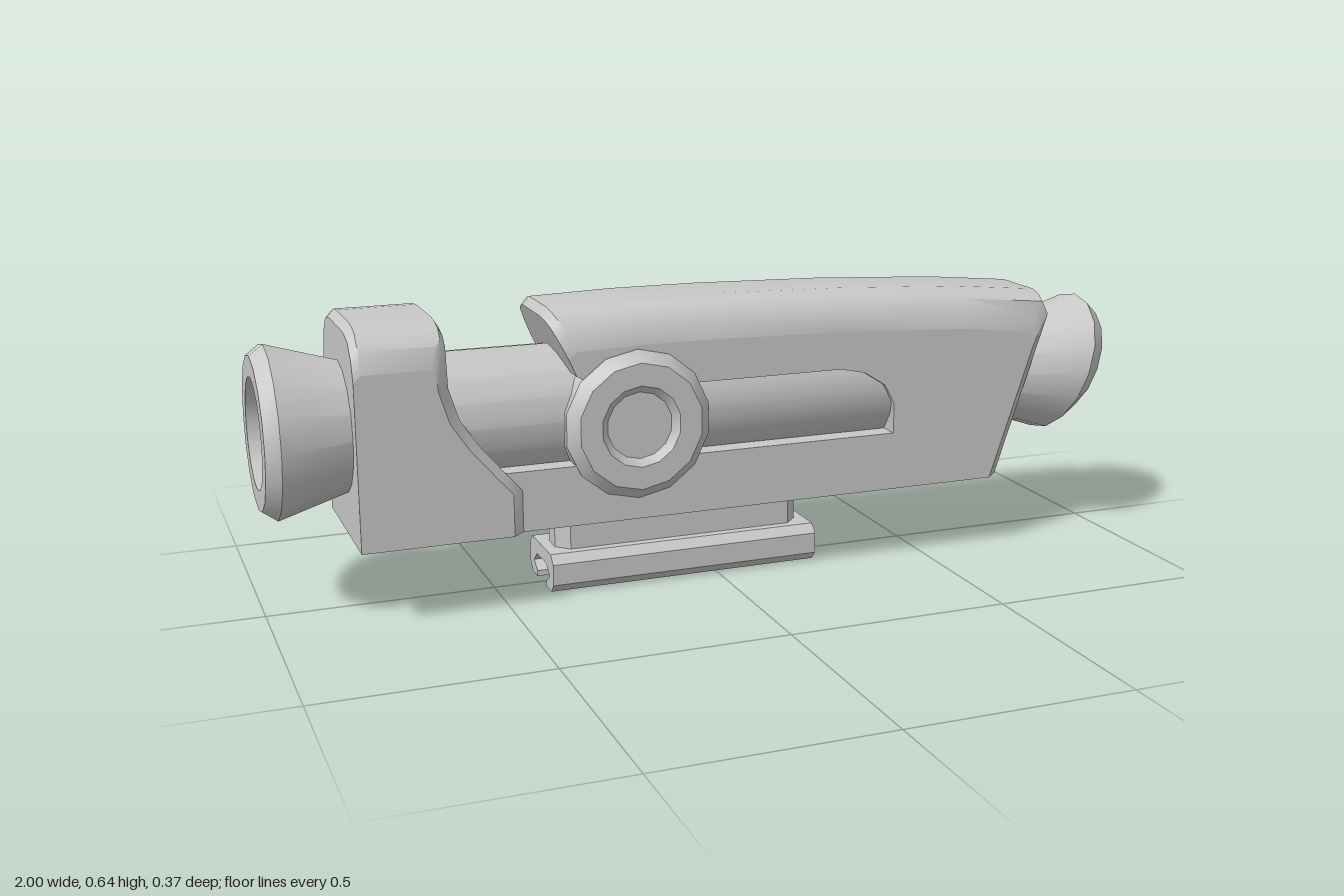
import * as THREE from 'three';
import { mergeGeometries, toCreasedNormals } from 'three/addons/utils/BufferGeometryUtils.js';

const AXIS = 0.403;   // height of the optical axis
const BASE = 0.172;   // underside of the body
const SLOPE = 0.335;  // lean of the rear end, x per y
const rearX = (y) => 0.69 + SLOPE * (y - BASE);

const grey = new THREE.MeshStandardMaterial({ color: 0xc8c8c8 });
grey.name = 'grey metal';

const shapeOf = (pts) => new THREE.Shape(pts.map(([x, y]) => new THREE.Vector2(x, y)));

// Linear interpolation in a small [key, value] table
function lookup(table, t) {
  for (let i = 1; i < table.length; i++) {
    const [a, va] = table[i - 1], [b, vb] = table[i];
    if (t <= b + 1e-6) return va + (vb - va) * Math.max(0, (t - a) / (b - a));
  }
  return table[table.length - 1][1];
}

// Side profile extruded through the given z layers, each layer reshaped by a rule
function slab(pts, layers, warp) {
  const steps = layers.length - 1;
  const g = new THREE.ExtrudeGeometry(shapeOf(pts), { depth: 1, steps, bevelEnabled: false });
  const p = g.attributes.position;
  for (let i = 0; i < p.count; i++) {
    const z = layers[Math.round(p.getZ(i) * steps)];
    const [x, y] = warp(p.getX(i), p.getY(i), Math.abs(z));
    p.setXYZ(i, x, y, z);
  }
  return g;
}

// Hollow body: two side walls plus an upper and a lower core; outer sides stay flat
function hollowBody(side, upper, lower, wall, roof, warp, extra = []) {
  const mirrored = wall.map((z) => -z).reverse();
  const full = [...roof.map((z) => -z).reverse(), ...roof];
  const g = toCreasedNormals(mergeGeometries([
    slab(side, wall, warp), slab(side, mirrored, warp),
    slab(upper, full, warp), slab(lower, full, warp), ...extra,
  ]), 0.55);
  const p = g.attributes.position, n = g.attributes.normal;
  const outer = wall[wall.length - 1] - 1e-4;
  for (let i = 0; i < p.count; i += 3) {
    const corners = [i, i + 1, i + 2];
    if (corners.every((k) => Math.abs(p.getZ(k)) > outer)) {
      corners.forEach((k) => n.setXYZ(k, 0, 0, Math.sign(p.getZ(k))));
    }
  }
  return g;
}

function lathe(pts, segments) {
  return new THREE.LatheGeometry(pts.map(([r, y]) => new THREE.Vector2(r, y)), segments);
}

// Leaning square plate with a round hole that closes the rear of the housing
function rearPlate() {
  const s = shapeOf([[-0.1, -0.1], [0.1, -0.1], [0.1, 0.1], [-0.1, 0.1]]);
  s.holes.push(new THREE.Path().absarc(0, 0, 0.095, 0, Math.PI * 2, true));
  const g = new THREE.ExtrudeGeometry(s, { depth: 0.03, bevelEnabled: false });
  g.rotateY(Math.PI / 2).translate(-0.03, AXIS, 0);
  const p = g.attributes.position;
  for (let i = 0; i < p.count; i++) p.setX(i, p.getX(i) + rearX(p.getY(i)));
  return g;
}

function housingGeometry() {
  const top = [[rearX(0.567), 0.567], [0.806, 0.598], [0.6, 0.618], [0.3, 0.634], [0, 0.642],
    [-0.2, 0.643], [-0.385, 0.638], [-0.4, 0.62], [-0.345, 0.5]];
  const side = [[-0.55, BASE], [rearX(BASE), BASE], ...top, [-0.28, 0.465], [0.27, 0.465],
    [0.33, 0.452], [0.38, 0.42], [0.405, 0.375], [0.405, 0.305], [-0.55, 0.305]];
  const upper = [[rearX(0.5), 0.5], ...top];
  const lower = [[-0.55, BASE], [rearX(BASE), BASE], [rearX(0.305), 0.305], [-0.55, 0.305]];
  const drop = [[0, 0], [0.068, 0], [0.1, 0.008], [0.122, 0.02], [0.14, 0.05], [0.15, 0.085]];
  const inset = [[0, 0], [0.122, 0], [0.15, 0.03]];
  return hollowBody(side, upper, lower, [0.1, 0.122, 0.14, 0.15], [0.068, 0.1], (x, y, z) => {
    const d = y > 0.56 ? lookup(drop, z) : 0;
    let nx = x;
    if (x > 0.64) nx -= SLOPE * d + lookup(inset, z);
    if (x < -0.38 && y > 0.56) nx += 0.46 * d;
    return [nx, y - d];
  }, [rearPlate()]);
}

function frontBlockGeometry() {
  const rear = [[-0.47, BASE], [-0.47, 0.265], [-0.505, 0.305], [-0.56, 0.37], [-0.6, 0.43],
    [-0.622, 0.5], [-0.625, 0.62], [-0.635, 0.637]];
  const nose = [[-0.805, 0.637], [-0.82, 0.62]];
  const side = [[-0.82, BASE], ...rear, ...nose];
  const upper = [[-0.82, 0.5], ...rear.slice(5), ...nose];
  const lower = [[-0.82, BASE], ...rear.slice(0, 3), [-0.82, 0.305]];
  const drop = [[0, 0], [0.068, 0], [0.1, 0.003], [0.13, 0.012], [0.16, 0.045], [0.175, 0.09]];
  const inset = [[0, 0], [0.15, 0], [0.175, 0.026]];
  return hollowBody(side, upper, lower, [0.1, 0.13, 0.15, 0.16, 0.175], [0.068, 0.1], (x, y, z) => {
    const d = y > 0.56 ? lookup(drop, z) : 0;
    return [x > -0.7 ? x - lookup(inset, z) : x, y - d];
  });
}

// Tube, front bell and leaning eyepiece in one hollow turning
function opticGeometry() {
  const g = lathe([
    [0.12, -1], [0.165, -1], [0.187, -0.97], [0.142, -0.82], [0.142, 0.45], [0.115, 0.5],
    [0.115, 0.767], [0.16, 0.913], [0.128, 0.957], [0.09, 0.957], [0.09, 0.5],
    [0.09, -0.8], [0.12, -0.8], [0.12, -1],
  ], 16);
  g.rotateZ(-Math.PI / 2);
  const p = g.attributes.position;
  for (let i = 0; i < p.count; i++) {
    if (p.getX(i) > 0.6) p.setX(i, p.getX(i) + SLOPE * p.getY(i));
  }
  g.translate(0, AXIS, 0);
  return toCreasedNormals(g, 0.45);
}

// Recessed dial, axis turned to +z
function knobGeometry() {
  const g = lathe([[0.165, 0.1], [0.165, 0.152], [0.14, 0.176], [0.09, 0.176],
    [0.074, 0.162], [0, 0.162]], 14);
  g.rotateX(Math.PI / 2);
  return toCreasedNormals(g, 0.47);
}

// Post with chamfered ends
function postGeometry() {
  const a = -0.365, b = 0.215, c = 0.028;
  const g = new THREE.ExtrudeGeometry(shapeOf([
    [a, -0.023], [a + c, -0.052], [b - c, -0.052], [b, -0.023],
    [b, 0.023], [b - c, 0.052], [a + c, 0.052], [a, 0.023],
  ]), { depth: 0.1, bevelEnabled: false });
  return g.rotateX(-Math.PI / 2).translate(0, 0.08, 0);
}

// Clamp with two hooked jaws, running along x
function clampGeometry() {
  const half = [[0.037, 0.054], [0.062, 0.032], [0.036, 0.013], [0.036, 0],
    [0.073, 0], [0.092, 0.02], [0.092, 0.067], [0.073, 0.086]];
  const other = half.map(([z, y]) => [-z, y]).reverse();
  const g = new THREE.ExtrudeGeometry(shapeOf([...half, ...other]), { depth: 0.63, bevelEnabled: false });
  return g.rotateY(Math.PI / 2).translate(-0.39, 0, 0);
}

export function createModel() {
  const model = new THREE.Group();
  model.name = 'opticalSight';
  const add = (name, geometry) => {
    const mesh = new THREE.Mesh(geometry, grey);
    mesh.name = name;
    model.add(mesh);
    return mesh;
  };

  add('housing', housingGeometry());
  add('frontBlock', frontBlockGeometry());
  add('opticTube', opticGeometry());
  add('mountPost', postGeometry());
  add('railClamp', clampGeometry());

  // One knob on each side
  for (const [name, turn] of [['frontKnob', 0], ['backKnob', Math.PI]]) {
    const knob = add(name, knobGeometry());
    knob.position.set(-0.21, 0.385, 0);
    knob.rotation.y = turn;
  }
  return model;
}
